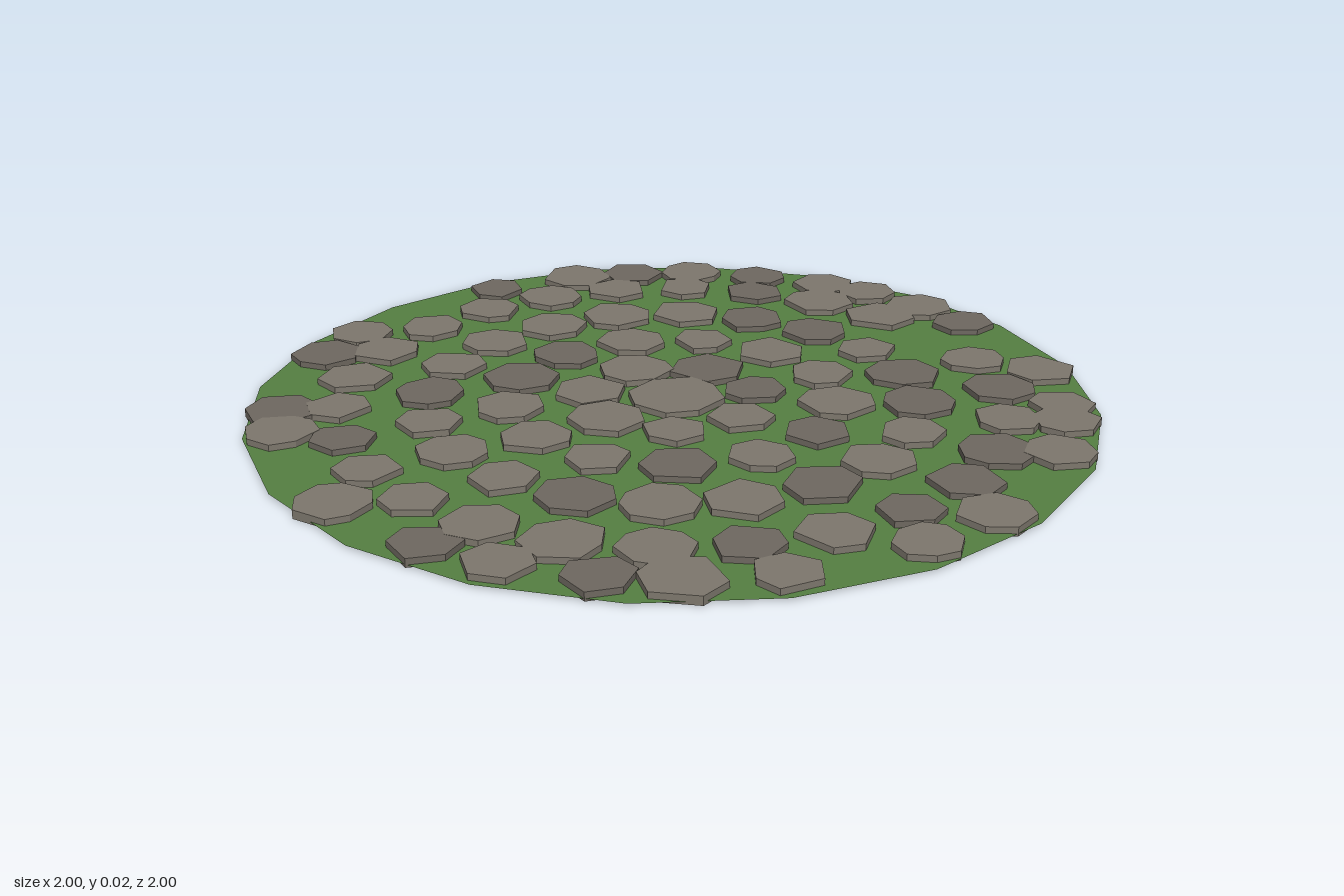
import * as THREE from 'three';
import { mergeGeometries } from 'three/addons/utils/BufferGeometryUtils.js';

const HEIGHT = 0.021;

// Evenly spaced angles in degrees, turning from +x towards +z
const spread = (count, start) => Array.from({ length: count }, (_, i) => start + (i * 360) / count);

// Concentric rings of stones: distance from the centre, angles, and which stones are dark
const RINGS = [
  { distance: 0.2, angles: spread(7, 17), dark: [0, 6] },
  { distance: 0.387, angles: spread(13, 8), dark: [2, 4, 8, 9] },
  { distance: 0.58, angles: spread(20, -2), dark: [1, 2, 5, 8, 12, 18, 19] },
  { distance: 0.784, angles: spread(26, -1).slice(1), dark: [1, 3, 4, 5, 7, 13, 22] },
  {
    // The outermost ring is uneven, with gaps
    distance: 0.914,
    angles: [-3, -13, -24, -32, -44, -56, -66, -76, -91, -121, -131, -154, -162,
      172, 154, 143, 130, 120, 107, 87, 74, 51, 40, 34, 20],
    dark: [0, 4, 6, 8, 10, 11, 14, 16],
  },
];

let seed = 7;
function random() {
  seed = (seed * 16807) % 2147483647;
  return seed / 2147483647;
}

// Irregular many-sided slab standing on y = 0
function stoneGeometry(x, z, radius, sides, height) {
  const turn = random() * Math.PI * 2;
  const points = [];
  for (let i = 0; i < sides; i++) {
    const angle = turn + ((i + (random() - 0.5) * 0.3) / sides) * Math.PI * 2;
    const r = radius * (0.93 + random() * 0.14);
    points.push(new THREE.Vector2(Math.cos(angle) * r, Math.sin(angle) * r));
  }
  const slab = new THREE.ExtrudeGeometry(new THREE.Shape(points), { depth: height, bevelEnabled: false });
  return slab.rotateX(-Math.PI / 2).translate(x, 0, z);
}

export function createModel() {
  const group = new THREE.Group();
  group.name = 'stonePatch';

  // Flat twenty-sided grass disc
  const grass = new THREE.Mesh(
    new THREE.CircleGeometry(1, 20).rotateX(-Math.PI / 2),
    new THREE.MeshStandardMaterial({ color: 0x558042, side: THREE.DoubleSide })
  );
  grass.name = 'grassDisc';
  grass.position.y = 0.006;
  group.add(grass);

  // Large centre stone, then the rings; dark stones sit a hair lower where they overlap
  const light = [stoneGeometry(0.01, 0, 0.113, 8, HEIGHT)];
  const dark = [];
  for (const ring of RINGS) {
    ring.angles.forEach((degrees, i) => {
      const isDark = ring.dark.includes(i);
      const angle = THREE.MathUtils.degToRad(degrees);
      const radius = 0.074 + random() * 0.018;
      const sides = 6 + Math.floor(random() * 2.3);
      const stone = stoneGeometry(
        Math.cos(angle) * ring.distance, Math.sin(angle) * ring.distance,
        radius, sides, isDark ? HEIGHT - 0.0006 : HEIGHT
      );
      (isDark ? dark : light).push(stone);
    });
  }
  for (const [name, parts, color] of [['lightStones', light, 0x7d776d], ['darkStones', dark, 0x6e6860]]) {
    const mesh = new THREE.Mesh(
      mergeGeometries(parts),
      new THREE.MeshStandardMaterial({ color, flatShading: true })
    );
    mesh.name = name;
    group.add(mesh);
  }
  return group;
}
